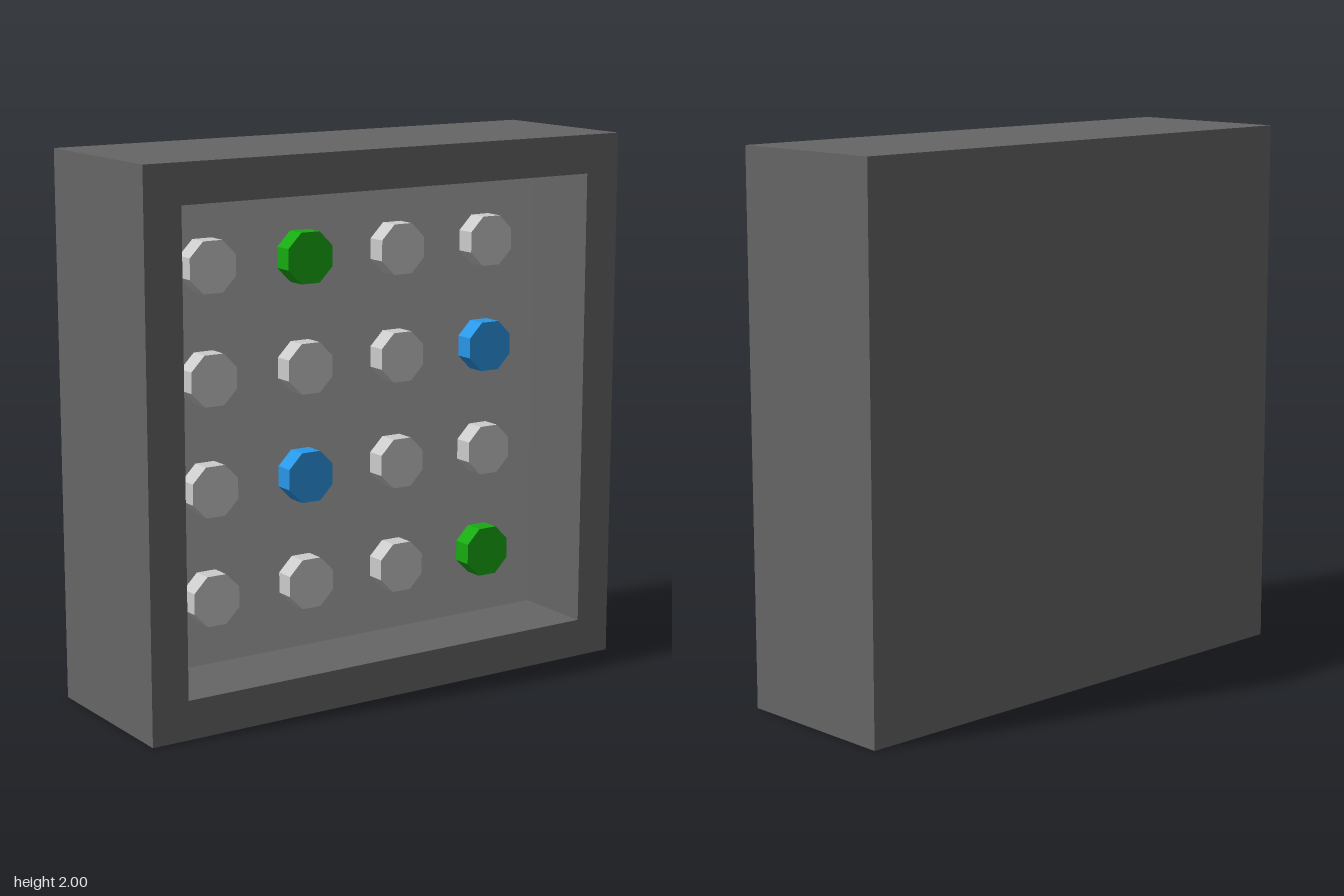
import * as THREE from 'three';

const material = (color) => new THREE.MeshStandardMaterial({ color, flatShading: true });

export function createModel() {
  const model = new THREE.Group();
  model.name = 'buttonPanel';
  const add = (name, geometry, mat, x, y, z, parent = model) => {
    const mesh = new THREE.Mesh(geometry, mat);
    mesh.name = name;
    mesh.position.set(x, y, z);
    parent.add(mesh);
    return mesh;
  };

  const half = 1, inner = 0.857, front = 0.32, panelZ = 0.005;
  const dark = material(0x666666);

  // Square frame standing in front of a solid back
  const square = (shape, s) =>
    shape.moveTo(-s, -s).lineTo(s, -s).lineTo(s, s).lineTo(-s, s).closePath();
  const outline = square(new THREE.Shape(), half);
  outline.holes.push(square(new THREE.Path(), inner));
  const depth = 2 * front;
  add('frame', new THREE.ExtrudeGeometry(outline, { depth, bevelEnabled: false }),
    dark, 0, 1, -front);

  // Back plate closes the frame, with the recessed panel over it
  const plate = 0.05;
  const backDepth = front + panelZ - plate;
  add('back', new THREE.BoxGeometry(2 * inner, 2 * inner, backDepth),
    dark, 0, 1, -front + backDepth / 2);
  add('panel', new THREE.BoxGeometry(2 * inner, 2 * inner, plate),
    material(0xacacac), 0, 1, panelZ - plate / 2);

  // Four by four grid of octagonal buttons, a few of them lit
  const grey = material(0xcccccc), green = material(0x18aa12), blue = material(0x2a97e8);
  const lit = { '1,3': green, '3,2': blue, '1,1': blue, '3,0': green };
  const buttonDepth = 0.075;
  const button = new THREE.CylinderGeometry(0.1, 0.1, buttonDepth, 8)
    .rotateY(Math.PI / 8).rotateX(Math.PI / 2);
  const buttons = new THREE.Group();
  buttons.name = 'buttons';
  model.add(buttons);
  for (let row = 0; row < 4; row++) {
    for (let col = 0; col < 4; col++) {
      add('button', button, lit[`${col},${row}`] ?? grey,
        -0.6 + 0.4 * col, 0.4 + 0.4 * row, panelZ + buttonDepth / 2, buttons);
    }
  }
  return model;
}
